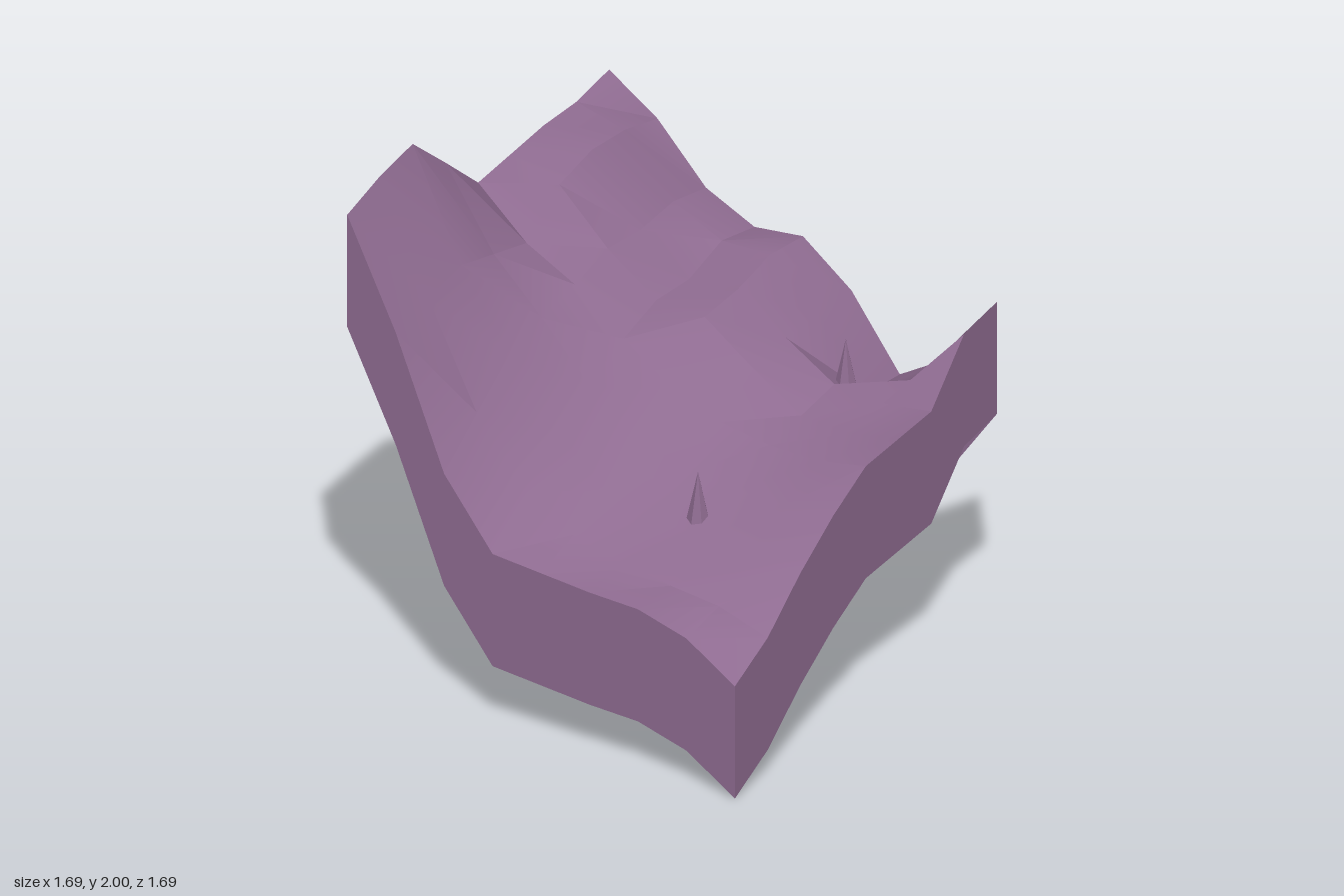
import * as THREE from 'three';
import { toCreasedNormals } from 'three/addons/utils/BufferGeometryUtils.js';

const N = 8, HALF = 0.845, STEP = (2 * HALF) / N, DEPTH = 0.45;

// Ground heights: rows run back to front, columns run from -x to +x.
const HEIGHTS = [
  [1.79, 1.65, 1.43, 1.33, 1.35, 1.19, 0.91, 1.03, 1.315],
  [1.745, 1.69, 1.46, 1.36, 1.36, 1.18, 0.92, 1.03, 1.27],
  [1.735, 1.695, 1.43, 1.29, 1.305, 1.17, 1.04, 1.02, 1.045],
  [1.705, 1.64, 1.44, 1.29, 1.28, 1.13, 1.0, 0.985, 1.02],
  [1.675, 1.49, 1.38, 1.22, 1.08, 1.0, 0.965, 0.96, 0.995],
  [1.84, 1.53, 1.33, 1.11, 0.96, 0.89, 0.87, 0.865, 0.88],
  [2.0, 1.57, 1.27, 1.02, 0.84, 0.78, 0.765, 0.755, 0.735],
  [1.955, 1.52, 1.12, 0.86, 0.745, 0.69, 0.655, 0.63, 0.56],
  [1.885, 1.47, 0.96, 0.695, 0.675, 0.655, 0.645, 0.585, 0.45],
];

const point = (col, row) => [-HALF + col * STEP, HEIGHTS[row][col], -HALF + row * STEP];

// Ground sheet: a plane grid lifted to the heights, smooth with sharp folds.
function groundGeometry() {
  const geo = new THREE.PlaneGeometry(2 * HALF, 2 * HALF, N, N).rotateX(-Math.PI / 2);
  const pos = geo.attributes.position;
  for (let i = 0; i < pos.count; i++) {
    pos.setY(i, HEIGHTS[Math.floor(i / (N + 1))][i % (N + 1)]);
  }
  return toCreasedNormals(geo, 0.38);
}

// One side wall: a strip hanging a constant depth below an edge of the ground.
function wallGeometry(edge) {
  const verts = [], index = [];
  edge.forEach(([x, y, z], i) => {
    verts.push(x, y, z, x, y - DEPTH, z);
    if (i < N) {
      const a = 2 * i;
      index.push(a, a + 1, a + 2, a + 1, a + 3, a + 2);
    }
  });
  const geo = new THREE.BufferGeometry();
  geo.setAttribute('position', new THREE.Float32BufferAttribute(verts, 3));
  geo.setIndex(index);
  geo.computeVertexNormals();
  return geo;
}

export function createModel() {
  const group = new THREE.Group();
  group.name = 'terrainTile';
  const rock = new THREE.MeshStandardMaterial({ color: 0x8e6b90, side: THREE.DoubleSide });
  rock.name = 'dusty purple';

  const add = (name, geometry) => {
    const mesh = new THREE.Mesh(geometry, rock);
    mesh.name = name;
    group.add(mesh);
    return mesh;
  };

  add('ground', groundGeometry());

  // Walls, each running left to right as seen from outside.
  const steps = Array.from({ length: N + 1 }, (_, i) => i);
  add('frontWall', wallGeometry(steps.map((i) => point(i, N))));
  add('leftWall', wallGeometry(steps.map((i) => point(N, N - i))));
  add('backWall', wallGeometry(steps.map((i) => point(N - i, 0))));
  add('rightWall', wallGeometry(steps.map((i) => point(0, i))));

  // Small faceted rock spikes standing on the ground.
  for (const [x, y, z] of [[0.35, 0.78, 0.35], [0.42, 0.99, -0.5]]) {
    const spike = new THREE.ConeGeometry(0.045, 0.2, 7).toNonIndexed();
    spike.computeVertexNormals();
    add('rockSpike', spike).position.set(x, y + 0.1, z);
  }
  return group;
}
